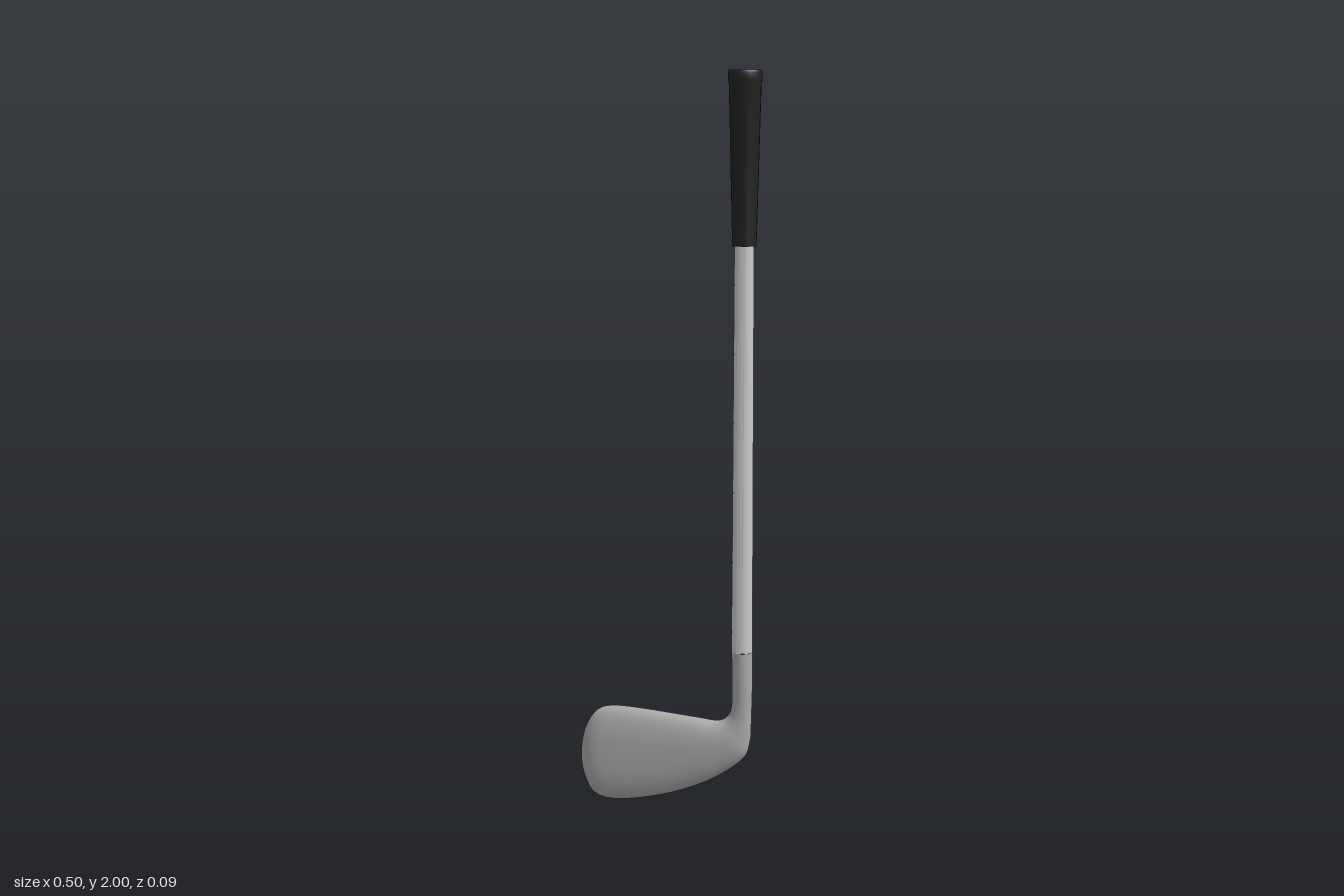
import * as THREE from 'three';
import { toCreasedNormals } from 'three/addons/utils/BufferGeometryUtils.js';

const AXIS_X = 0.207;

// Round part turned around the shaft axis from [radius, y] points
function turned(name, profile, material) {
  const points = profile.map(([r, y]) => new THREE.Vector2(r, y));
  const mesh = new THREE.Mesh(toCreasedNormals(new THREE.LatheGeometry(points, 20), 0.6), material);
  mesh.name = name;
  mesh.position.x = AXIS_X;
  return mesh;
}

// Club head: one smooth loft running down the hosel and out to the toe.
// Each section: upper x, y, lower x, y, half thickness, middle z
const SECTIONS = [
  [0.179, 0.45, 0.236, 0.45, 0.029, 0],
  [0.181, 0.36, 0.236, 0.35, 0.025, 0],
  [0.179, 0.295, 0.234, 0.265, 0.023, 0],
  [0.166, 0.265, 0.231, 0.2, 0.026, 0.001],
  [0.138, 0.252, 0.21, 0.148, 0.031, 0.003],
  [0.08, 0.256, 0.125, 0.086, 0.036, 0.004],
  [0, 0.262, 0.02, 0.04, 0.038, 0.004],
  [-0.08, 0.268, -0.08, 0.013, 0.039, 0.004],
  [-0.15, 0.27, -0.155, 0.003, 0.039, 0.004],
  [-0.195, 0.261, -0.2, 0.009, 0.037, 0.004],
  [-0.222, 0.235, -0.225, 0.03, 0.031, 0.004],
  [-0.241, 0.195, -0.243, 0.07, 0.021, 0.004],
  [-0.251, 0.145, -0.251, 0.105, 0.008, 0.004],
  [-0.252, 0.125, -0.252, 0.125, 0, 0.004],
];

function headGeometry(rings = 78, sides = 40) {
  const curve = (pick) => new THREE.CatmullRomCurve3(
    SECTIONS.map((s) => new THREE.Vector3(...pick(s))), false, 'catmullrom', 0.5);
  const upper = curve((s) => [s[0], s[1], s[4]]);
  const lower = curve((s) => [s[2], s[3], s[5]]);
  const positions = [], index = [];
  for (let i = 0; i <= rings; i++) {
    const t = i / rings;
    const u = upper.getPoint(t), l = lower.getPoint(t);
    // round at the hosel, flatter faces on the blade
    const power = THREE.MathUtils.lerp(1, 0.8, THREE.MathUtils.smoothstep(t, 0.2, 0.5));
    for (let j = 0; j < sides; j++) {
      const a = (j / sides) * Math.PI * 2;
      const c = Math.cos(a), s = Math.sin(a);
      const k = 0.5 + 0.5 * Math.sign(c) * Math.abs(c) ** power;
      positions.push(
        l.x + (u.x - l.x) * k,
        l.y + (u.y - l.y) * k,
        l.z + u.z * Math.sign(s) * Math.abs(s) ** power);
      if (i < rings) {
        const n = (j + 1) % sides, p = i * sides, q = p + sides;
        index.push(p + j, q + j, p + n, p + n, q + j, q + n);
      }
    }
  }
  const geometry = new THREE.BufferGeometry();
  geometry.setAttribute('position', new THREE.Float32BufferAttribute(positions, 3));
  geometry.setIndex(index);
  geometry.computeVertexNormals();
  return geometry;
}

export function createModel() {
  const group = new THREE.Group();
  group.name = 'golfIron';
  const steel = new THREE.MeshStandardMaterial({ color: 0xcccccc });
  const headSteel = new THREE.MeshStandardMaterial({ color: 0xaaaaaa });
  const rubber = new THREE.MeshStandardMaterial({ color: 0x222222 });

  const head = new THREE.Mesh(headGeometry(), headSteel);
  head.name = 'clubHead';

  // Slightly tapered shaft
  const shaft = turned('shaft', [[0, 0.45], [0.0285, 0.45], [0.026, 1.56], [0, 1.56]], steel);

  // Tapered grip with a wider end cap
  const grip = turned('grip', [
    [0, 1.545], [0.032, 1.545], [0.0425, 1.965], [0.045, 1.975], [0.045, 1.995], [0.042, 2], [0, 2],
  ], rubber);

  group.add(head, shaft, grip);
  return group;
}
